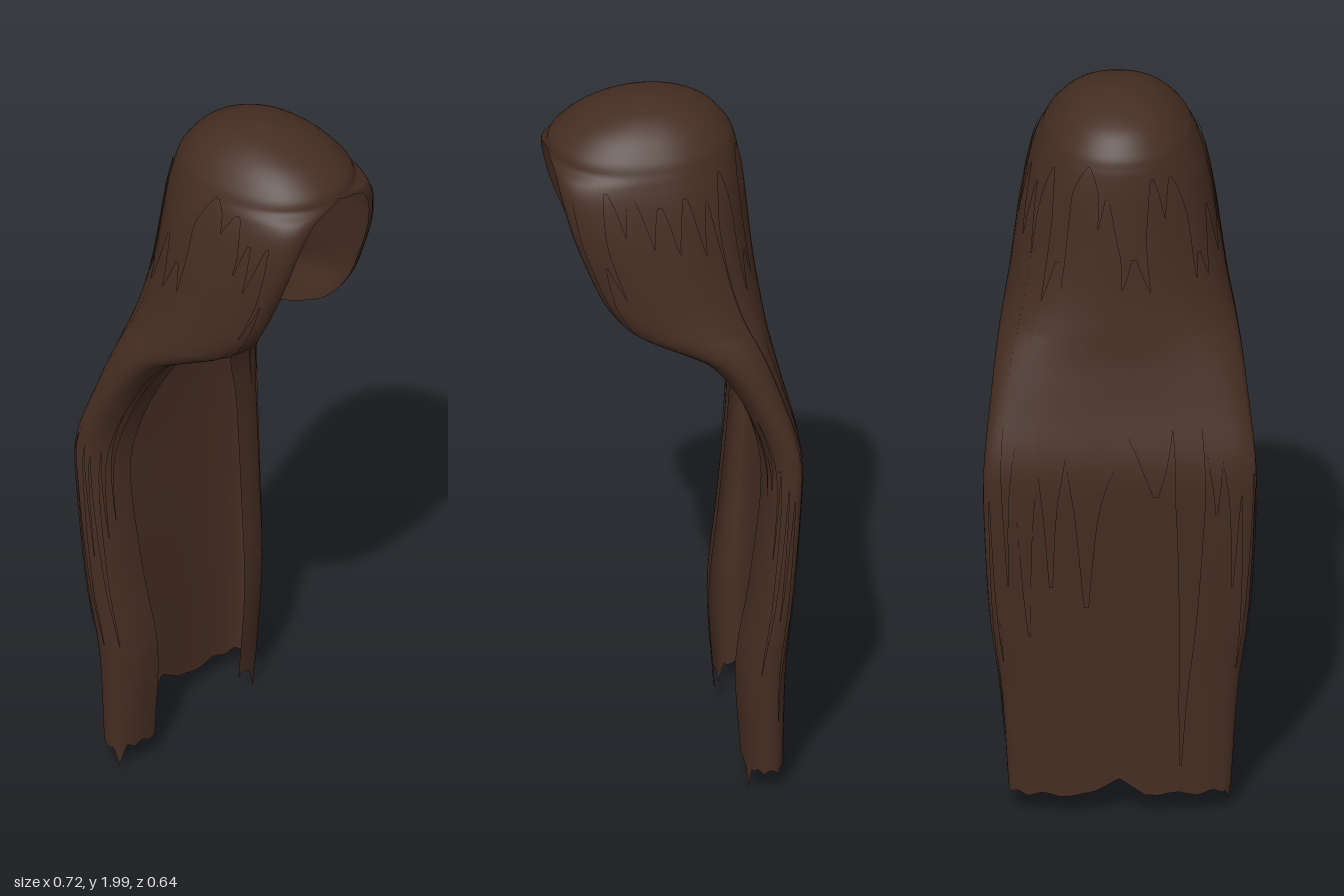
import * as THREE from 'three';
import { mergeVertices } from 'three/addons/utils/BufferGeometryUtils.js';

// Horizontal sections: height, half width, half opening, back z, widest z, front edge z
const rows = [
  [2.0, 0, 0, 0.05, 0.05, 0.05],
  [1.985, 0.08, 0, -0.04, 0.05, 0.14],
  [1.95, 0.14, 0, -0.12, 0.05, 0.235],
  [1.9, 0.185, 0, -0.165, 0.05, 0.3],
  [1.865, 0.203, 0, -0.18, 0.05, 0.316],
  [1.835, 0.215, 0.09, -0.187, 0.05, 0.314],
  [1.78, 0.232, 0.135, -0.195, 0.04, 0.305],
  [1.68, 0.252, 0.162, -0.205, 0.03, 0.28],
  [1.57, 0.268, 0.172, -0.215, 0.01, 0.24],
  [1.48, 0.282, 0.18, -0.225, -0.02, 0.2],
  [1.41, 0.298, 0.16, -0.235, -0.06, 0.15],
  [1.37, 0.308, 0.15, -0.24, -0.1, 0.08],
  [1.31, 0.32, 0.148, -0.25, -0.15, -0.05],
  [1.2, 0.335, 0.148, -0.275, -0.21, -0.14],
  [1.05, 0.352, 0.185, -0.31, -0.27, -0.2],
  [0.9, 0.353, 0.22, -0.312, -0.27, -0.21],
  [0.6, 0.338, 0.205, -0.295, -0.25, -0.18],
  [0.35, 0.31, 0.18, -0.285, -0.22, -0.15],
  [0.07, 0.292, 0.175, -0.28, -0.22, -0.165],
];
const spline = (i) => new THREE.CatmullRomCurve3(
  rows.map((r) => new THREE.Vector3(r[i], r[i + 1], r[i + 2])), false, 'catmullrom', 0.5);
const outline = spline(0), depths = spline(3);

// Point on the hair: u runs from right front edge (-1) round the back to the left (1), v from crown to tips
function hairPoint(u, v, lift = 0) {
  const { x: y, y: width, z: open } = outline.getPoint(v);
  const { x: back, y: mid, z: front } = depths.getPoint(v);
  const w = Math.max(0, width) + lift, edge = Math.max(0, open), a = Math.abs(u);
  let x, z;
  if (a <= 0.5) {
    const p = THREE.MathUtils.lerp(0.65, 0.95, THREE.MathUtils.smoothstep(y, 1.1, 1.7));
    const t = a * Math.PI;
    x = w * Math.sin(t) ** p;
    z = mid + (back - lift - mid) * Math.max(0, Math.cos(t)) ** p;
  } else {
    const t = (a - 0.5) * Math.PI;
    x = edge + (w - edge) * Math.max(0, Math.cos(t)) ** 0.9;
    z = mid + (front + lift - mid) * Math.sin(t) ** 0.9;
  }
  return [x * Math.sign(u), y + (v < 0.2 ? lift : 0), z];
}

// Grid of points joined into a smooth sheet
function sheet(cols, lines, point) {
  const pos = [], index = [];
  for (let j = 0; j <= lines; j++)
    for (let i = 0; i <= cols; i++) pos.push(...point(i / cols, j / lines));
  for (let j = 0; j < lines; j++)
    for (let i = 0; i < cols; i++) {
      const a = j * (cols + 1) + i, b = a + cols + 1;
      index.push(a, a + 1, b, a + 1, b + 1, b);
    }
  let g = new THREE.BufferGeometry();
  g.setAttribute('position', new THREE.Float32BufferAttribute(pos, 3));
  g.setIndex(index);
  g = mergeVertices(g, 1e-5);
  g.computeVertexNormals();
  return g;
}

// Torn lower hem: a middle notch, two hanging points and small teeth
function hem(u) {
  const peak = (c, r) => Math.max(0, 1 - Math.abs(u - c) / r);
  return 0.05 * peak(0, 0.035) - 0.05 * peak(-0.625, 0.09) - 0.07 * peak(0.8125, 0.06)
    + 0.006 * Math.sin(u * 41);
}

let seed = 7;
const rnd = () => (seed = (seed * 16807) % 2147483647) / 2147483647;

export function createModel() {
  const group = new THREE.Group();
  const brown = new THREE.MeshStandardMaterial({ color: 0x452d22, side: THREE.DoubleSide });
  brown.name = 'dark brown hair';
  const add = (geometry, name) => {
    const mesh = new THREE.Mesh(geometry, brown);
    mesh.name = name;
    group.add(mesh);
  };

  // Main fall of hair, open at the face
  add(sheet(64, 108, (s, t) => {
    const u = s * 2 - 1, p = hairPoint(u, t);
    if (t === 1) p[1] += hem(u);
    return p;
  }), 'hairFall');

  // Thin locks lying over the main fall, narrowing to their tips
  for (let k = 0; k < 22; k++) {
    const centre = -0.84 + (k / 21) * 1.68, half = 0.03 + 0.025 * rnd();
    const start = 0.2 + 0.25 * rnd(), end = 0.8 + 0.195 * rnd(), lift = 0.003 + 0.004 * rnd();
    add(sheet(4, 44, (s, t) => {
      const taper = Math.min(1, 0.15 + t * 5, 0.1 + (1 - t) * 4);
      return hairPoint(centre + (s * 2 - 1) * half * taper, start + (end - start) * t, lift);
    }), 'hairLock');
  }
  return group;
}
